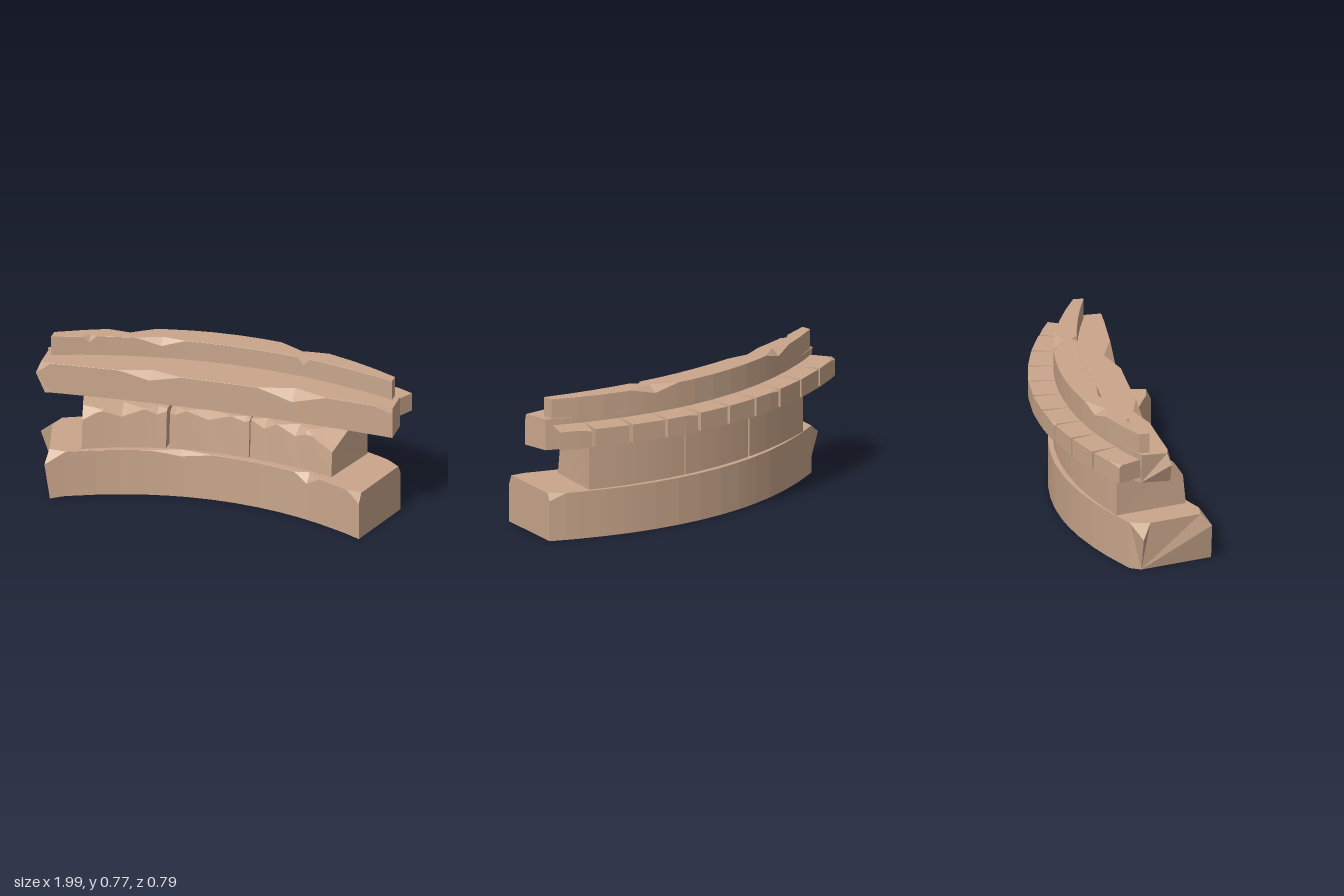
import * as THREE from 'three';

const stone = new THREE.MeshStandardMaterial({ color: 0xc9a68b, flatShading: true });
const lerp = THREE.MathUtils.lerp;

// Size of the chipped corner at x: each chip is [x, halfWidth, drop, inset]
function chipAt(chips, x) {
  let drop = 0.001, inset = 0.001;
  for (const [cx, w, d, i] of chips) {
    const k = Math.max(0, 1 - Math.abs(x - cx) / w);
    drop = Math.max(drop, d * k);
    inset = Math.max(inset, i * k);
  }
  return [drop, inset];
}

// Curved stone: front and back edges follow z = z0 + k * x * x.
// front/back: [x0, x1, z0, k]; y: [bottom, back top, front top]
function arcStone(name, { front, back, y, segs = 8, chips = [], backChips = [], lean = 0, tweak }) {
  // columns at even steps plus the corners of every chip
  const ts = new Set();
  for (let i = 0; i <= segs; i++) ts.add(i / segs);
  const addChips = (list, [x0, x1]) => {
    for (const [cx, w] of list)
      for (const x of [cx - w, cx, cx + w]) {
        const t = (x - x0) / (x1 - x0);
        if (t > 0.002 && t < 0.998) ts.add(t);
      }
  };
  addChips(chips, front);
  addChips(backChips, back);

  const [yb, yt, yf = yt] = y;
  const columns = [...ts].sort((a, b) => a - b).map(t => {
    const xf = lerp(front[0], front[1], t), xb = lerp(back[0], back[1], t);
    const zf = front[2] + front[3] * xf * xf, zb = back[2] + back[3] * xb * xb;
    const [fd, fi] = chipAt(chips, xf), [bd, bi] = chipAt(backChips, xb);
    const f = fi / (zf - zb), b = bi / (zf - zb);
    const p = [
      [xb, yb, zb], [xf, yb, zf], [xf, yf - fd, zf - lean],
      [lerp(xf, xb, f), lerp(yf, yt, f), zf - lean - fi],
      [lerp(xb, xf, b), yt, zb + bi], [xb, yt - bd, zb],
    ];
    if (tweak) tweak(p, t);
    return p;
  });

  const pos = [];
  const tri = (...pts) => pts.forEach(p => pos.push(...p));
  for (let c = 0; c + 1 < columns.length; c++) {
    const a = columns[c], b = columns[c + 1];
    for (let j = 0; j < 6; j++) {
      const n = (j + 1) % 6;
      tri(a[j], b[j], a[n]);
      tri(a[n], b[j], b[n]);
    }
  }
  const first = columns[0], last = columns[columns.length - 1];
  for (let i = 1; i < 5; i++) {
    tri(first[0], first[i], first[i + 1]);
    tri(last[0], last[i + 1], last[i]);
  }
  const geo = new THREE.BufferGeometry();
  geo.setAttribute('position', new THREE.Float32BufferAttribute(pos, 3));
  geo.computeVertexNormals();
  const mesh = new THREE.Mesh(geo, stone);
  mesh.name = name;
  return mesh;
}

export function createModel() {
  const group = new THREE.Group();
  group.name = 'curvedStoneBench';

  // Base slab, its right end broken back at top and bottom
  group.add(arcStone('base', {
    front: [-0.86, 0.86, 0.155, 0.318], back: [-1, 0.96, -0.29, 0.29],
    y: [0, 0.257], segs: 14,
    chips: [[-0.86, 0.1, 0.065, 0.06], [-0.18, 0.17, 0.025, 0.03],
      [0.53, 0.075, 0.05, 0.04], [0.86, 0.08, 0.055, 0.025]],
    backChips: [[-1, 0.1, 0.065, 0.05], [0.96, 0.08, 0.04, 0.02]],
    tweak(p, t) {
      if (t > 0) return;
      p[0][0] += 0.07;
      p[1][0] += 0.03;
      p[3][0] += 0.03;
      p[4][0] += 0.06;
    },
  }));

  // Three support blocks with worn front edges
  const supports = [
    { front: [-0.69, -0.27, 0.12, 0.34], back: [-0.79, -0.275, -0.262, 0.25],
      chips: [[-0.69, 0.1, 0.055, 0.06], [-0.5, 0.12, 0.045, 0.08], [-0.32, 0.07, 0.03, 0.04]] },
    { front: [-0.255, 0.178, 0.12, 0.28], back: [-0.262, 0.196, -0.262, 0.25],
      chips: [[-0.23, 0.06, 0.03, 0.05], [-0.05, 0.12, 0.04, 0.06], [0.15, 0.07, 0.02, 0.03]] },
    { front: [0.184, 0.66, 0.12, 0.25], back: [0.204, 0.755, -0.262, 0.27],
      chips: [[0.26, 0.07, 0.04, 0.05], [0.44, 0.1, 0.045, 0.06], [0.66, 0.16, 0.08, 0.2]] },
  ];
  for (const s of supports)
    group.add(arcStone('supportBlock', { ...s, y: [0.257, 0.493, 0.473], segs: 4, lean: 0.015 }));

  // Wide ledge
  group.add(arcStone('ledge', {
    front: [-0.98, 0.97, 0.107, 0.047], back: [-0.96, 0.965, -0.25, 0.27],
    y: [0.492, 0.66], segs: 12,
    chips: [[-0.98, 0.08, 0.06, 0.02], [-0.37, 0.17, 0.04, 0.05],
      [0.41, 0.19, 0.055, 0.06], [0.97, 0.1, 0.03, 0.006]],
    tweak(p, t) {
      if (t > 0) return;
      p[0][0] += 0.03;
      p[1][0] += 0.05;
      p[3][0] += 0.02;
    },
  }));

  // Raised rim along the back of the ledge
  group.add(arcStone('backRim', {
    front: [-0.93, 0.935, -0.12, 0.19], back: [-0.93, 0.935, -0.26, 0.285],
    y: [0.64, 0.767], segs: 14,
    chips: [[-0.74, 0.035, 0.035, 0.03], [-0.37, 0.13, 0.04, 0.03], [0.41, 0.035, 0.04, 0.03]],
    backChips: [[-0.55, 0.12, 0.035, 0.05], [0.38, 0.14, 0.035, 0.05]],
  }));

  // Row of small trim stones around the back, with wedge-shaped gaps
  const seams = [-1, -0.79, -0.585, -0.385, -0.18, 0.02, 0.22, 0.425, 0.625, 0.825, 0.99];
  for (let i = 0; i + 1 < seams.length; i++) {
    const a = seams[i], b = seams[i + 1];
    group.add(arcStone('trimStone', {
      front: [a * 0.935 + 0.001, b * 0.935 - 0.001, -0.25, 0.28],
      back: [a + (i ? 0.009 : 0), b - (i < 9 ? 0.009 : 0), -0.395, 0.265],
      y: [0.525, 0.625], segs: 1,
      backChips: i % 3 === 0 ? [[a, 0.08, 0.012, 0.015]] : [],
    }));
  }
  return group;
}
